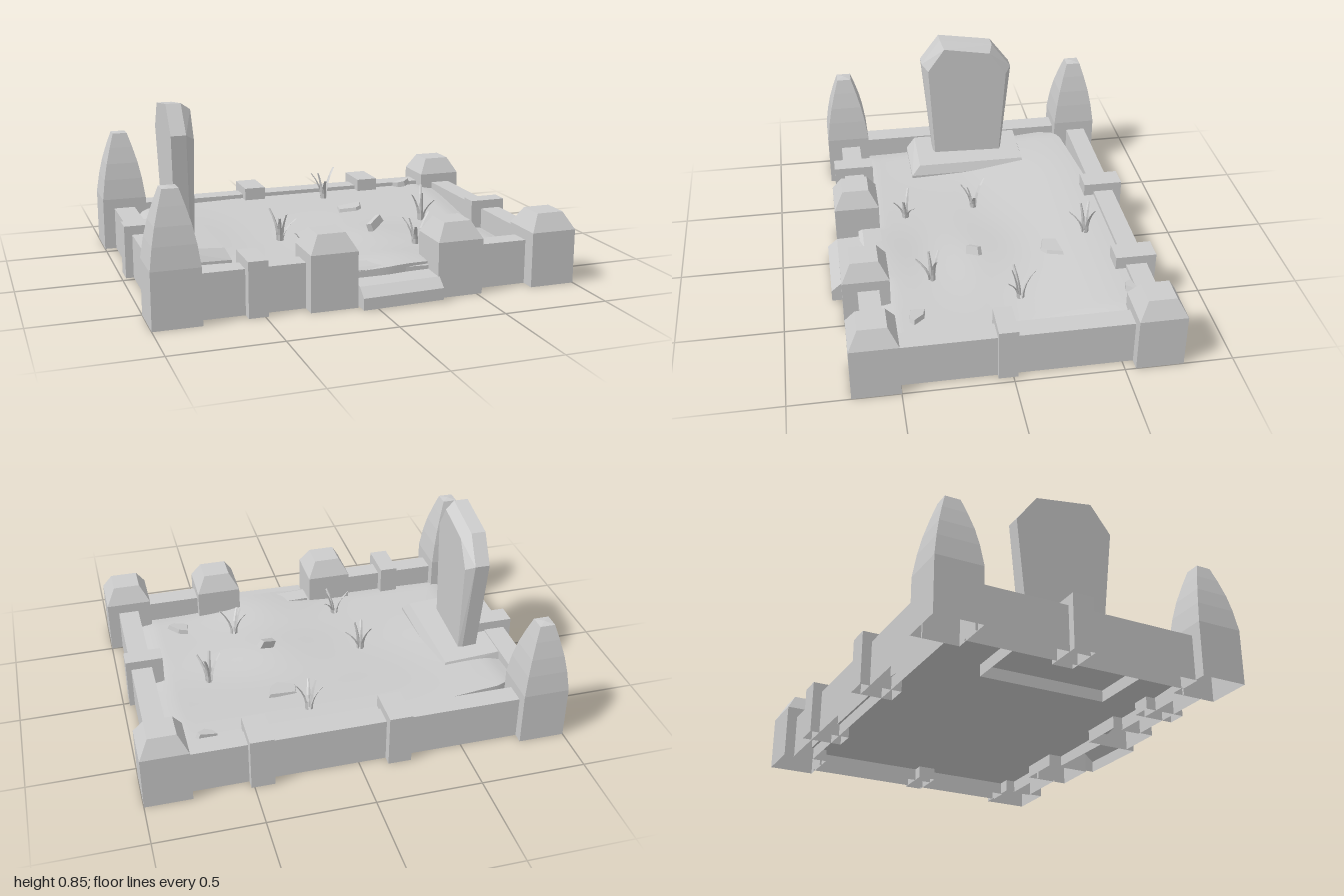
import * as THREE from 'three';
import { ConvexGeometry } from 'three/addons/geometries/ConvexGeometry.js';

const stone = new THREE.MeshStandardMaterial({ color: 0xcccccc, flatShading: true, side: THREE.DoubleSide });
const soil = new THREE.MeshStandardMaterial({ color: 0xcccccc });
const { lerp, smoothstep } = THREE.MathUtils;

// Smooth hump of the given height and radii
const hump = (x, z, cx, cz, rx, rz, height) => height * Math.exp(-(((x - cx) / rx) ** 2) - ((z - cz) / rz) ** 2);

// Height of the soil: banked up at the back, with humps in the middle, by the gate and by the grave
function groundY(x, z) {
  const bank = 0.07 * smoothstep(-z, -0.04, 0.6);
  const humps = hump(x, z, 0.22, 0.06, 0.28, 0.2, 0.03)
    + hump(x, z, 0.2, 0.5, 0.25, 0.18, 0.03)
    + hump(x, z, -0.72, -0.1, 0.24, 0.32, 0.03);
  const edge = Math.min(0.855 - Math.abs(x), 0.57 - z);
  const drop = Math.abs(x - 0.12) < 0.22 ? 0 : 0.015 * (1 - smoothstep(edge, 0, 0.09));
  return 0.122 + bank + humps - drop;
}

// Piecewise linear curve through [x, y] points
function along(points, x) {
  for (let i = 1; i < points.length; i++) {
    const [a, b] = [points[i - 1], points[i]];
    if (x <= b[0]) return lerp(a[1], b[1], (x - a[0]) / (b[0] - a[0]));
  }
  return points[points.length - 1][1];
}

// Removes the faces that look straight down
function openBelow(geometry) {
  const g = geometry.index ? geometry.toNonIndexed() : geometry;
  const n = g.attributes.normal;
  const kept = [];
  for (let i = 0; i < n.count; i++) if (n.getY(i - (i % 3)) > -0.9) kept.push(i);
  g.setIndex(kept);
  g.clearGroups();
  return g;
}

export function createModel() {
  const model = new THREE.Group();

  function add(name, geometry, material = stone) {
    const mesh = new THREE.Mesh(geometry, material);
    mesh.name = name;
    model.add(mesh);
    return mesh;
  }

  // Box given by its extents, standing on the ground and open below
  function block(name, x0, x1, z0, z1, height) {
    const g = new THREE.BoxGeometry(x1 - x0, height, z1 - z0);
    g.translate((x0 + x1) / 2, height / 2, (z0 + z1) / 2);
    add(name, openBelow(g));
  }

  // Square post from [half width, y] pairs
  function post(name, x, z, profile) {
    const points = profile.map(([r, y]) => new THREE.Vector2(r * Math.SQRT2, y));
    add(name, new THREE.LatheGeometry(points, 4, Math.PI / 4)).position.set(x, 0, z);
  }
  const short = [[0.11, 0], [0.11, 0.26], [0.065, 0.34], [0, 0.34]];
  const tall = [[0.11, 0], [0.11, 0.26], [0.096, 0.36], [0.08, 0.44], [0.058, 0.52], [0.036, 0.59], [0, 0.595]];
  for (const z of [-0.66, 0.61]) {
    post('tallCornerPost', -0.89, z, tall);
    post('shortCornerPost', 0.89, z, short);
  }
  for (const x of [-0.19, 0.415]) post('gatePost', x, 0.61, short);

  // Low walls
  block('backWall', -0.79, 0.79, -0.72, -0.62, 0.212);
  block('leftWall', 0.845, 0.945, -0.56, 0.51, 0.212);
  block('rightWall', -0.943, -0.84, -0.56, 0.51, 0.212);
  block('frontWall', -0.79, -0.29, 0.55, 0.65, 0.21);
  block('frontWall', 0.51, 0.79, 0.55, 0.65, 0.21);

  // Clamps straddling the walls
  block('wallClamp', -0.24, -0.13, -0.765, -0.57, 0.255);
  block('wallClamp', 0.405, 0.515, -0.765, -0.57, 0.255);
  block('wallClamp', -0.98, -0.8, -0.13, -0.03, 0.255);
  block('wallClamp', 0.79, 0.97, -0.02, 0.068, 0.255);
  block('wallClamp', -0.575, -0.485, 0.5, 0.7, 0.255);

  // Bed of uneven soil with a flat underside, one corner pulled in
  const back = [[-0.84, -0.47], [-0.81, -0.53], [-0.75, -0.57], [-0.2, -0.63], [0.86, -0.63]];
  const front = [[-0.84, 0.53], [-0.3, 0.56], [-0.07, 0.61], [0.1, 0.618], [0.31, 0.6], [0.55, 0.56], [0.86, 0.55]];
  const ground = new THREE.BoxGeometry(1, 1, 1, 48, 1, 36);
  const p = ground.attributes.position;
  for (let i = 0; i < p.count; i++) {
    const x = lerp(-0.84, 0.85, p.getX(i) + 0.5);
    const z = lerp(along(back, x), along(front, x), p.getZ(i) + 0.5);
    p.setXYZ(i, x, p.getY(i) > 0 ? groundY(x, z) : 0.06, z);
  }
  ground.computeVertexNormals();
  add('ground', ground, soil);

  // Gate steps, profile in z and y
  function step(profile, tilt) {
    const shape = new THREE.Shape(profile.map(q => new THREE.Vector2(...q)));
    const g = new THREE.ExtrudeGeometry(shape, { depth: 0.384, bevelEnabled: false });
    g.translate(0, 0, -0.192).rotateY(-Math.PI / 2);
    const mesh = add('gateStep', openBelow(g));
    mesh.position.x = 0.121;
    mesh.rotation.z = tilt;
  }
  step([[0.57, 0.005], [0.768, 0.005], [0.768, 0.06], [0.72, 0.1], [0.57, 0.105]], 0.02);
  step([[0.5, 0.09], [0.61, 0.09], [0.61, 0.13], [0.59, 0.14], [0.5, 0.14]], -0.03);

  // Half-buried slab with sloped edges, sinking towards +x
  const slab = [];
  for (const [x0, x1, z0, z1, y0, y1] of [
    [-0.84, -0.54, -0.335, 0.285, 0.005, 0.005],
    [-0.84, -0.54, -0.335, 0.285, 0.145, 0.14],
    [-0.84, -0.562, -0.32, 0.24, 0.205, 0.188],
  ]) {
    for (const z of [z0, z1]) slab.push(new THREE.Vector3(x0, y0, z), new THREE.Vector3(x1, y1, z));
  }
  add('graveSlab', openBelow(new ConvexGeometry(slab)));

  // Headstone: outline in z and y, with its front edge bevelled
  const outline = [[0.15, 0.18], [0.2, 0.72], [0.1, 0.852], [-0.175, 0.815], [-0.275, 0.685], [-0.22, 0.18]];
  const head = [];
  for (const [z, y] of outline) {
    const lean = 0.03 * (y - 0.18), turn = -0.04 * z;
    const top = y > 0.2;
    head.push(new THREE.Vector3(-0.766 - lean + turn, y, z));
    head.push(new THREE.Vector3(-0.695 - lean + turn, y, z));
    head.push(new THREE.Vector3(-0.675 + lean / 3 + turn, top ? 0.18 + (y - 0.18) * 0.95 : y, -0.035 + (z + 0.035) * (top ? 0.87 : 0.95)));
  }
  add('headstone', new ConvexGeometry(head));

  // Loose stones: centre, corner offsets, thickness, tilt, lift
  const stones = [
    [0.26, -0.31, [[-0.06, -0.04], [0.08, -0.05], [0.055, 0.03], [0.02, 0.055], [-0.07, 0.03]], 0.02, 0.1, 0],
    [0.26, 0.07, [[-0.05, 0.01], [0.035, -0.035], [0.05, -0.015], [-0.03, 0.035]], 0.06, 0.45, 0.015],
    [0.65, 0.39, [[-0.04, -0.04], [0.01, -0.03], [0.06, 0.02], [0.03, 0.04], [-0.05, 0.03]], 0.03, 0.15, 0],
    [0.68, -0.6, [[-0.05, -0.01], [0.04, -0.02], [0.05, 0], [0.01, 0.03], [-0.03, 0.02]], 0.04, 0.2, 0],
  ];
  for (const [x, z, corners, height, tilt, lift] of stones) {
    const points = corners.flatMap(([a, b]) => [
      new THREE.Vector3(a, -0.005, b), new THREE.Vector3(a * 0.9, height * 0.6, b * 0.9),
    ]);
    const mesh = add('looseStone', new ConvexGeometry(points));
    mesh.position.set(x, groundY(x, z) + 0.008 + lift, z);
    mesh.rotation.z = tilt;
  }

  // Curved, tapering grass blade bending towards +x
  function blade(height, reach) {
    const g = new THREE.CylinderGeometry(0.006, 0.013, 1, 4, 4).translate(0, 0.5, 0);
    const q = g.attributes.position;
    for (let i = 0; i < q.count; i++) {
      const t = q.getY(i);
      q.setXYZ(i, q.getX(i) * 0.5 + reach * t * t, t * height, q.getZ(i));
    }
    return g;
  }
  const tufts = [[0.18, -0.5, 0.16, 0.4], [0.58, -0.1, 0.17, 1.2], [-0.22, 0, 0.15, 2.1], [0.38, 0.29, 0.15, 0.2], [-0.18, 0.36, 0.13, 2.8]];
  for (const [x, z, height, angle] of tufts) {
    const tuft = new THREE.Group();
    tuft.name = 'grassTuft';
    tuft.position.set(x, groundY(x, z), z);
    [[1, 0.06, 0], [0.85, 0.055, 2.3], [0.7, 0.07, 4.1], [0.9, 0.03, 3.2]].forEach(([h, reach, turn]) => {
      const mesh = new THREE.Mesh(blade(height * h, reach), stone);
      mesh.name = 'grassBlade';
      mesh.rotation.y = angle + turn;
      mesh.position.set(0.012 * Math.cos(angle + turn), 0, -0.012 * Math.sin(angle + turn));
      tuft.add(mesh);
    });
    model.add(tuft);
  }
  return model;
}
